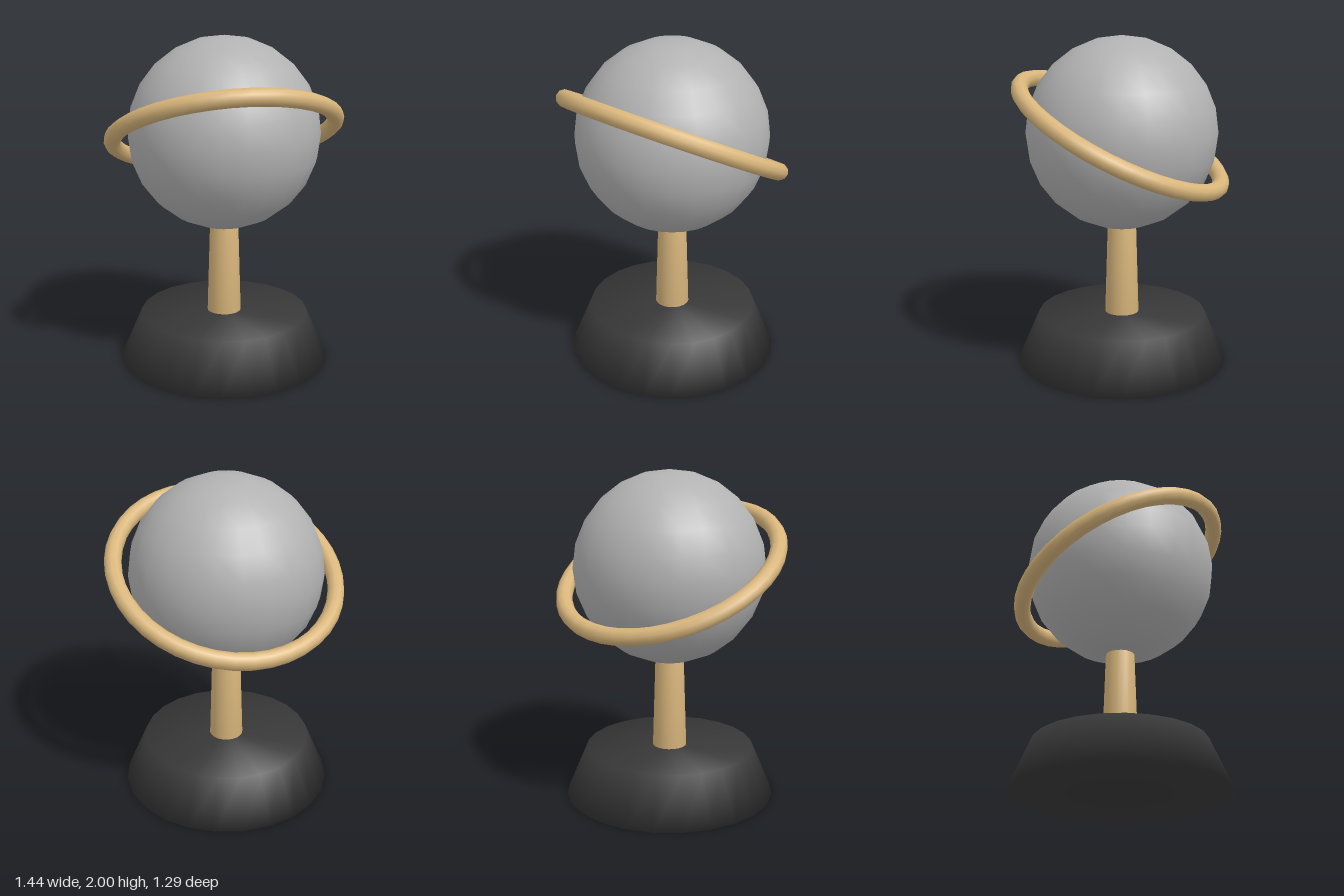
import * as THREE from 'three';
import { mergeVertices } from 'three/addons/utils/BufferGeometryUtils.js';

// Tapered cylinder whose normals blend softly over its rims
function softCylinder(top, bottom, height, sides) {
  const geo = new THREE.CylinderGeometry(top, bottom, height, sides);
  geo.deleteAttribute('normal');
  geo.deleteAttribute('uv');
  const merged = mergeVertices(geo, 1e-4);
  merged.computeVertexNormals();
  return merged;
}

export function createModel() {
  const model = new THREE.Group();
  model.name = 'ringedGlobeTrophy';

  const material = (name, color) => {
    const m = new THREE.MeshStandardMaterial({ color });
    m.name = name;
    return m;
  };
  const gray = material('globeGray', 0xb2b2b2);
  const gold = material('paleGold', 0xd9b67c);
  const black = material('baseBlack', 0x383838);

  const add = (name, geometry, mat, y) => {
    const mesh = new THREE.Mesh(geometry, mat);
    mesh.name = name;
    mesh.position.y = y;
    model.add(mesh);
    return mesh;
  };

  const globeY = 1.422;

  // Flared round base
  add('base', softCylinder(0.516, 0.645, 0.3, 24), black, 0.15);

  // Slim tapered post, its top hidden in the globe
  add('post', softCylinder(0.085, 0.104, 0.62, 20), gold, 0.61);

  // Globe
  add('globe', new THREE.SphereGeometry(0.578, 24, 12), gray, globeY);

  // Ring around the globe, raised at the front
  const ring = add('ring', new THREE.TorusGeometry(0.667, 0.051, 10, 40), gold, globeY);
  ring.rotation.x = THREE.MathUtils.degToRad(63);

  return model;
}
